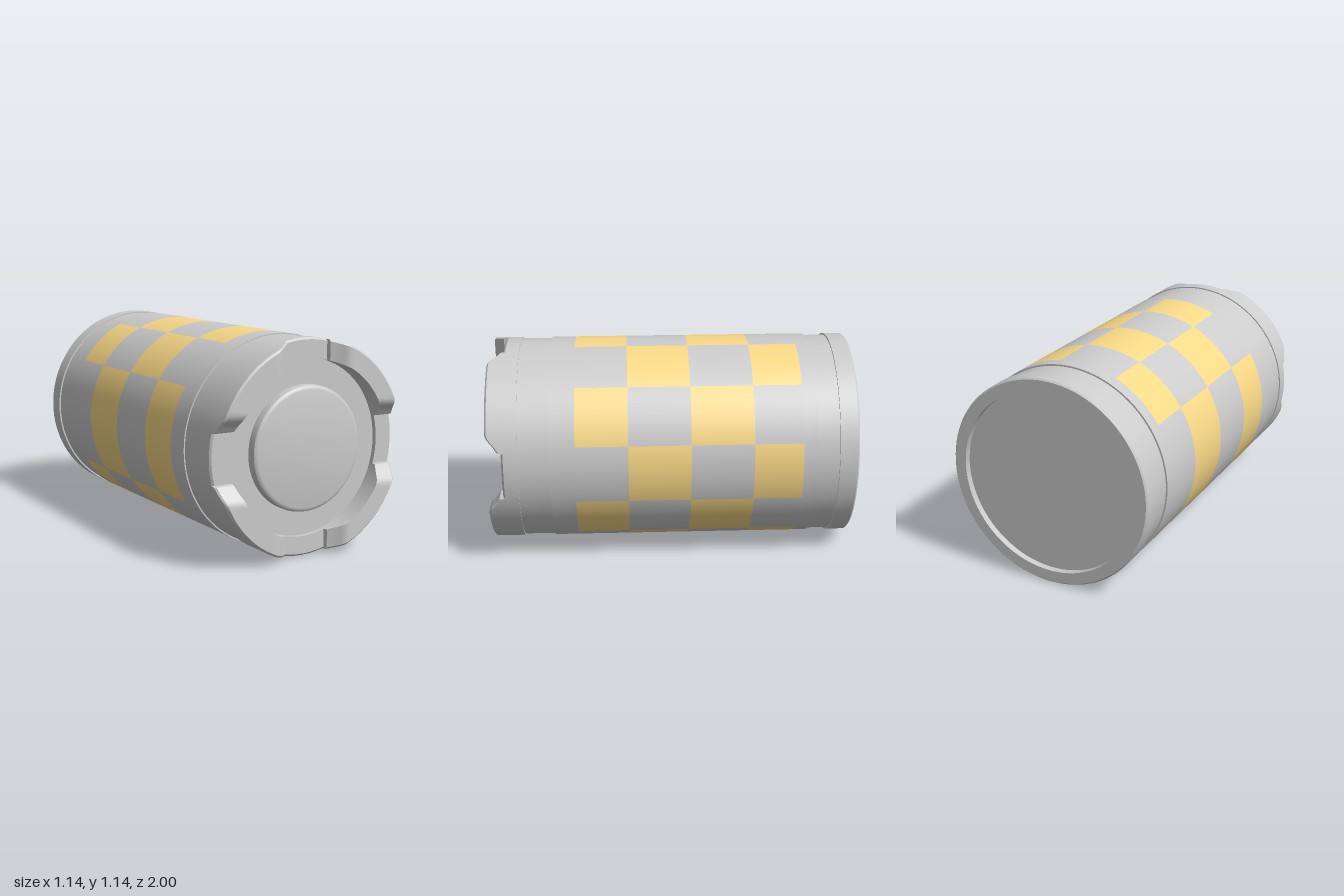
import * as THREE from 'three';
import { toCreasedNormals } from 'three/addons/utils/BufferGeometryUtils.js';

const R = 0.57, INNER = 0.465, ROWS = 11, STEP = (Math.PI * 2) / ROWS;
const grey = new THREE.MeshStandardMaterial({ color: 0xcccccc });
const yellow = new THREE.MeshStandardMaterial({ color: 0xf9d987 });

function add(parent, name, geometry, material = grey) {
  const mesh = new THREE.Mesh(geometry, material);
  mesh.name = name;
  parent.add(mesh);
}

// Turned part along z from [radius, z] points
function turned(profile) {
  const pts = profile.map(([r, z]) => new THREE.Vector2(r, z));
  const geo = new THREE.LatheGeometry(pts, ROWS * 9, Math.PI / 2 - STEP / 2);
  return toCreasedNormals(geo.rotateX(Math.PI / 2), 0.5);
}

// Front collar with four straight-cut notches
function notchedCollar() {
  // Notch outline: [sideways offset, height]
  const half = [[0.045, 0.915], [0.09, 0.915], [0.13, 0.915], [0.134, 0.937],
    [0.145, 0.945], [0.165, 0.958], [0.19, 0.98], [0.205, 0.992], [0.225, 1]];
  const notch = [...half.map(([w, z]) => [-w, z]).reverse(), [0, 0.915], ...half];
  const end = 0.225, arcSteps = 16;

  const columns = [];
  const addColumn = (angleAt, top) => {
    const section = [[INNER, 0.885], [INNER, top], [R - 0.01, top], [R, top - 0.01], [R, 0.83]];
    columns.push(section.map(([r, z]) => {
      const a = angleAt(r);
      return [r * Math.cos(a), r * Math.sin(a), z];
    }));
  };
  for (let q = 0; q < 4; q++) {
    const base = (q * Math.PI) / 2;
    for (const [w, z] of notch) addColumn((r) => base + Math.asin(w / r), z);
    for (let i = 1; i < arcSteps; i++) {
      addColumn((r) => {
        const a = Math.asin(end / r);
        return base + a + (Math.PI / 2 - 2 * a) * (i / arcSteps);
      }, 1);
    }
  }

  const positions = [];
  columns.forEach((col, i) => {
    const next = columns[(i + 1) % columns.length];
    for (let j = 0; j < col.length - 1; j++) {
      positions.push(...col[j], ...col[j + 1], ...next[j]);
      positions.push(...next[j], ...col[j + 1], ...next[j + 1]);
    }
  });
  const geo = new THREE.BufferGeometry();
  geo.setAttribute('position', new THREE.Float32BufferAttribute(positions, 3));
  return toCreasedNormals(geo, 0.5);
}

// Checkered wall, made of curved tiles
function checkeredWall() {
  const wall = new THREE.Group();
  wall.name = 'checkeredWall';
  const edges = [0.525, 0.24, -0.097, -0.436, -0.7];
  for (let k = -5; k <= 5; k++) {
    for (let c = 0; c < 4; c++) {
      const length = edges[c] - edges[c + 1];
      const geo = new THREE.CylinderGeometry(R, R, length, 9, 1, true, (k - 0.5) * STEP + Math.PI / 2, STEP);
      geo.rotateX(Math.PI / 2).translate(0, 0, (edges[c] + edges[c + 1]) / 2);
      const coloured = (Math.abs(k) + c) % 2 === 1;
      add(wall, coloured ? 'yellowTile' : 'greyTile', geo, coloured ? yellow : grey);
    }
  }
  return wall;
}

export function createModel() {
  const model = new THREE.Group();
  model.name = 'canister';
  const body = new THREE.Group();
  body.name = 'body';
  body.position.y = R;
  model.add(body);

  // Rear end: recessed base, rim and groove
  add(body, 'rearEnd', turned([[0, -0.965], [0.5, -0.965], [0.5, -1], [0.562, -1], [R, -0.992],
    [R, -0.895], [0.561, -0.895], [0.561, -0.775], [R, -0.775], [R, -0.7]]));

  body.add(checkeredWall());

  // Front shoulder with a shallow groove
  add(body, 'frontShoulder', turned([[R, 0.525], [R, 0.66], [0.563, 0.66], [0.563, 0.83], [R, 0.83]]));

  add(body, 'notchedCollar', notchedCollar());

  // Sunken face with a raised rounded cap
  add(body, 'frontCap', turned([[INNER, 0.89], [0.33, 0.89], [0.33, 0.924], [0.327, 0.935],
    [0.319, 0.942], [0.308, 0.945], [0, 0.945]]));

  return model;
}
